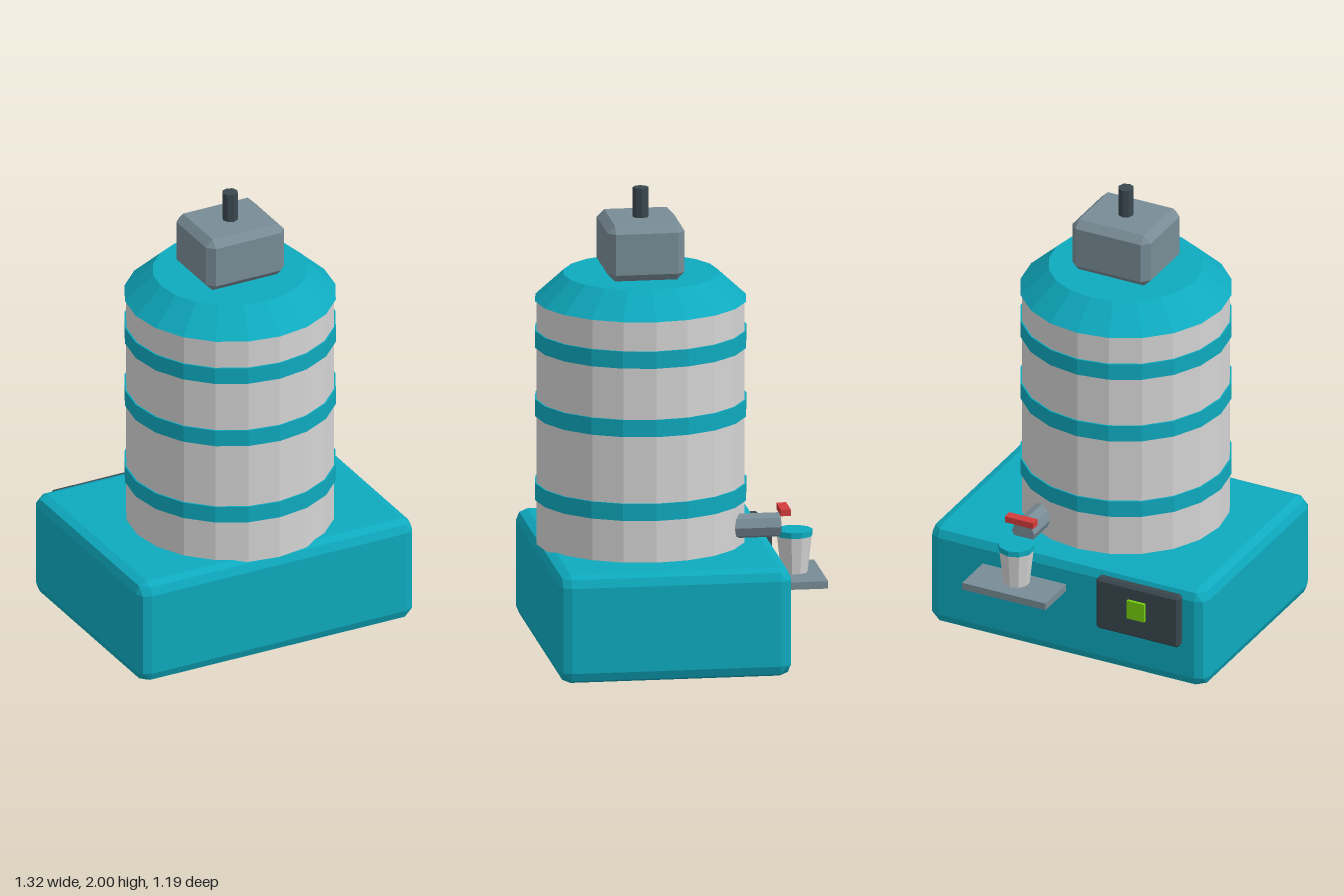
import * as THREE from 'three';
import { ConvexGeometry } from 'three/addons/geometries/ConvexGeometry.js';

const mat = (name, color) => {
  const m = new THREE.MeshStandardMaterial({ color, flatShading: true });
  m.name = name;
  return m;
};

// Box with bevelled edges: each corner is one eighth of a coarse ball
function bevelBox(w, h, d, r, steps) {
  const pts = [];
  for (const sx of [-1, 1]) for (const sy of [-1, 1]) for (const sz of [-1, 1]) {
    for (let i = 0; i <= steps; i++) for (let j = 0; j <= steps - i; j++) {
      const dir = new THREE.Vector3(i, j, steps - i - j).normalize();
      pts.push(new THREE.Vector3(
        sx * (w / 2 - r + r * dir.x),
        sy * (h / 2 - r + r * dir.y),
        sz * (d / 2 - r + r * dir.z)));
    }
  }
  return new ConvexGeometry(pts);
}

export function createModel() {
  const model = new THREE.Group();
  model.name = 'tankMachine';

  const teal = mat('teal paint', 0x0eaabf);
  const steel = mat('pale steel', 0xd4d4d4);
  const grey = mat('blue grey metal', 0x788c96);
  const dark = mat('dark plastic', 0x3a474f);
  const red = mat('red handle', 0xd43c3c);
  const green = mat('green button', 0x76d010);

  const add = (name, geo, material, x, y, z) => {
    const mesh = new THREE.Mesh(geo, material);
    mesh.name = name;
    mesh.position.set(x, y, z);
    model.add(mesh);
    return mesh;
  };
  // Upright cylinder given by its bottom and top heights
  const drum = (name, rTop, rBottom, y0, y1, sides, material, x, z) =>
    add(name, new THREE.CylinderGeometry(rTop, rBottom, y1 - y0, sides), material, x, (y0 + y1) / 2, z);

  // Base block
  add('base', bevelBox(1.32, 0.47, 0.995, 0.05, 2), teal, 0, 0.235, 0.085);

  // Tank with hoops and sloping lid
  const tz = 0.14;
  drum('tank', 0.445, 0.445, 0.46, 1.52, 20, steel, 0, tz);
  [0.69, 1.055, 1.353].forEach((y, i) =>
    drum('tankHoop' + (i + 1), 0.452, 0.452, y - 0.037, y + 0.037, 20, teal, 0, tz));
  drum('tankLid', 0.33, 0.452, 1.518, 1.63, 20, teal, 0, tz);

  // Motor and shaft
  add('motor', bevelBox(0.374, 0.242, 0.33, 0.032, 1), grey, 0, 1.751, tz);
  drum('shaft', 0.034, 0.034, 1.85, 2, 8, dark, 0, tz);

  // Outlet pipe and tap handle
  const px = 0.198;
  const pipe = add('outletPipe', new THREE.CylinderGeometry(0.053, 0.053, 0.245, 8), grey, px, 0.558, -0.303);
  pipe.rotation.x = Math.PI / 2;
  add('tapHandle', new THREE.BoxGeometry(0.135, 0.028, 0.042), red, px, 0.623, -0.442);

  // Tray with a lidded cup
  add('tray', new THREE.BoxGeometry(0.397, 0.032, 0.203), grey, px, 0.335, -0.5015);
  drum('cup', 0.075, 0.057, 0.35, 0.512, 10, steel, px, -0.488);
  drum('cupLid', 0.078, 0.078, 0.51, 0.535, 10, teal, px, -0.488);

  // Control panel on the back
  add('controlPanel', bevelBox(0.396, 0.245, 0.05, 0.012, 1), dark, -0.355, 0.317, -0.422);
  add('startButton', new THREE.BoxGeometry(0.084, 0.085, 0.02), green, -0.355, 0.333, -0.451);

  return model;
}
